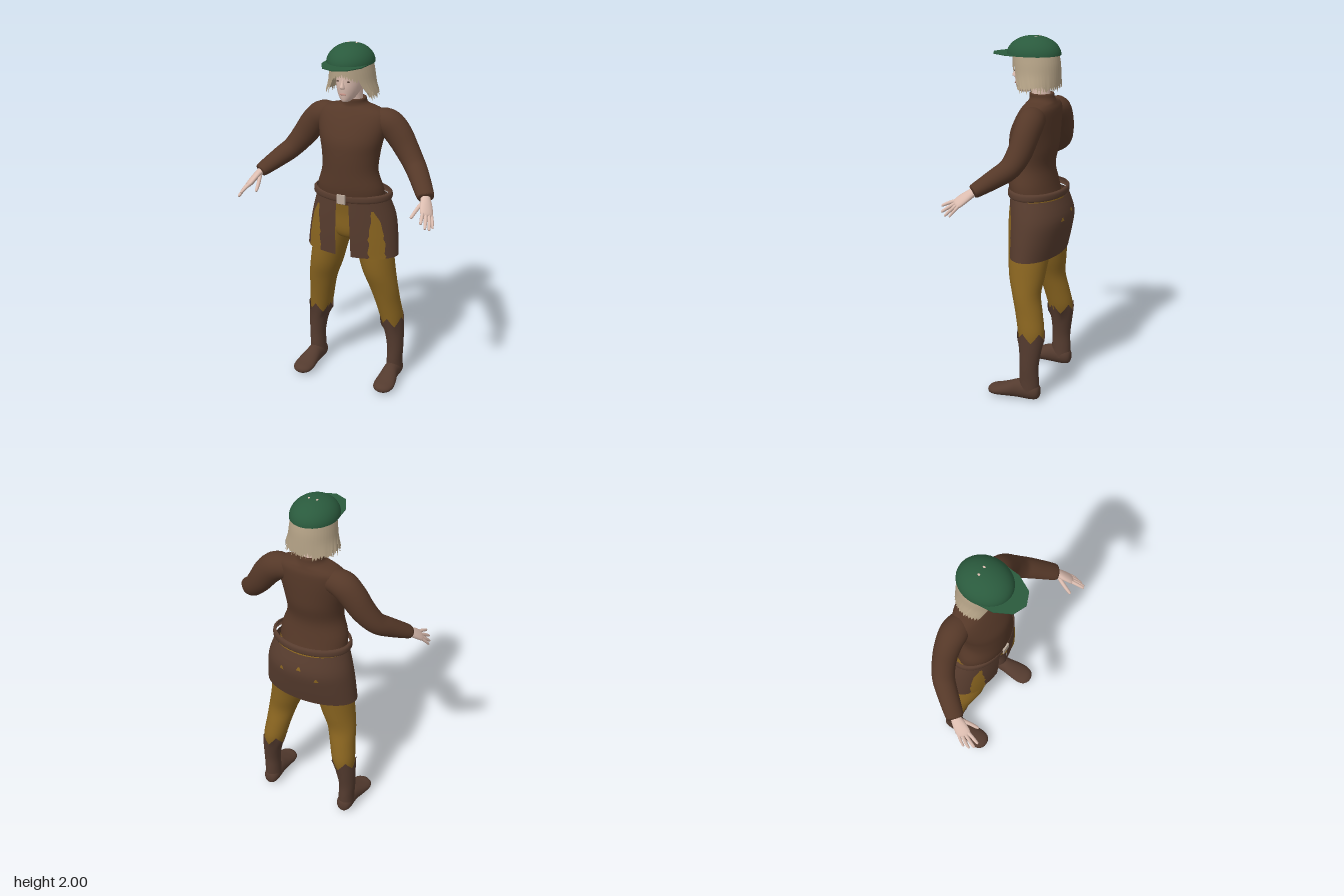
import * as THREE from 'three';

const mat = (name, color, side = THREE.FrontSide) => {
  const m = new THREE.MeshStandardMaterial({ color, side });
  m.name = name;
  return m;
};

// Surface from a rule p(u, v) -> [x, y, z]; closed joins the u ends
function grid(p, nu, nv, closed = false) {
  const pos = [], idx = [], cols = closed ? nu : nu + 1;
  for (let i = 0; i <= nv; i++)
    for (let j = 0; j < cols; j++) pos.push(...p(j / nu, i / nv));
  for (let i = 0; i < nv; i++)
    for (let j = 0; j < nu; j++) {
      const a = i * cols + j, b = i * cols + (j + 1) % cols, c = a + cols, d = b + cols;
      idx.push(a, b, c, b, d, c);
    }
  const g = new THREE.BufferGeometry();
  g.setAttribute('position', new THREE.Float32BufferAttribute(pos, 3));
  g.setIndex(idx);
  g.computeVertexNormals();
  return g;
}

// Smooth interpolation between rows of numbers
function sample(rows, t) {
  const s = t * (rows.length - 1), i = Math.min(Math.floor(s), rows.length - 2), f = s - i;
  const at = k => rows[Math.max(0, Math.min(rows.length - 1, k))];
  return rows[0].map((_, k) => {
    const a = at(i - 1)[k], b = at(i)[k], c = at(i + 1)[k], d = at(i + 2)[k];
    const m = (c - a) / 2, n = (d - b) / 2;
    return b + m * f + (3 * (c - b) - 2 * m - n) * f * f + (2 * (b - c) + m + n) * f * f * f;
  });
}

// Upright loft through elliptical rows [y, cx, cz, rx, rz]
const ring = ([y, cx, cz, rx, rz], a) => [cx + rx * Math.sin(a), y, cz + rz * Math.cos(a)];
const loft = (rows, n = 32, step = 4) =>
  grid((u, v) => ring(sample(rows, v), u * Math.PI * 2), n, (rows.length - 1) * step, true);

// Limb along points [x, y, z, radius across, radius through]
function limb(rows, side, n = 20, step = 5) {
  const vec = r => new THREE.Vector3(r[0], r[1], r[2]);
  return grid((u, v) => {
    const r = sample(rows, v), a = u * Math.PI * 2;
    const t = vec(sample(rows, Math.min(1, v + 0.02))).sub(vec(sample(rows, Math.max(0, v - 0.02)))).normalize();
    const b = side.clone().addScaledVector(t, -side.dot(t)).normalize();
    const q = t.clone().cross(b);
    return vec(r).addScaledVector(b, r[3] * Math.cos(a)).addScaledVector(q, r[4] * Math.sin(a)).toArray();
  }, n, (rows.length - 1) * step, true);
}

function mirrored(geo) {
  const g = geo.clone().scale(-1, 1, 1), ix = g.index.array;
  for (let i = 0; i < ix.length; i += 3) [ix[i + 1], ix[i + 2]] = [ix[i + 2], ix[i + 1]];
  g.computeVertexNormals();
  return g;
}

const rough = k => { const s = Math.sin(k * 127.1 + 11.7) * 43758.5453; return s - Math.floor(s); };
const lerp = THREE.MathUtils.lerp;

export function createModel() {
  const model = new THREE.Group();
  const D = THREE.DoubleSide;
  const shirt = mat('shirt brown', 0x553828), leather = mat('skirt brown', 0x573c2e, D);
  const boot = mat('boot brown', 0x543b2f, D), cloth = mat('trouser mustard', 0x8a6520, D);
  const green = mat('cap green', 0x2a5a3d, D), blond = mat('hair blond', 0xb5a387, D);
  const skin = mat('skin', 0xdcbdb0), dark = mat('eye brown', 0x5a463c);
  const lip = mat('lip pink', 0xc08d82), metal = mat('buckle grey', 0xbcab9c);
  const add = (name, geo, m) => {
    const o = new THREE.Mesh(geo, m);
    o.name = name;
    model.add(o);
    return o;
  };
  const pair = (name, geo, m) => { add('left ' + name, geo, m); add('right ' + name, mirrored(geo), m); };
  const blob = (x, y, z, sx, sy, sz) => new THREE.SphereGeometry(1, 16, 12).scale(sx, sy, sz).translate(x, y, z);

  // Shirt with a high collar, and sleeves
  add('shirt', loft([
    [1.12, 0, -0.06, 0.195, 0.13], [1.2, 0, -0.042, 0.193, 0.128], [1.3, 0, -0.033, 0.162, 0.122],
    [1.4, 0, -0.043, 0.167, 0.132], [1.48, 0, -0.05, 0.184, 0.13], [1.56, 0, -0.068, 0.2, 0.113],
    [1.615, 0, -0.083, 0.195, 0.095], [1.643, 0, -0.088, 0.155, 0.08], [1.658, 0, -0.09, 0.09, 0.072],
    [1.675, 0, -0.088, 0.07, 0.068], [1.697, 0, -0.085, 0.066, 0.065], [1.692, 0, -0.085, 0.045, 0.045],
  ], 40), shirt);
  pair('sleeve', limb([
    [0.11, 1.575, -0.095, 0.06, 0.06], [0.19, 1.572, -0.1, 0.077, 0.074], [0.25, 1.523, -0.1, 0.077, 0.07],
    [0.31, 1.44, -0.09, 0.069, 0.064], [0.37, 1.365, -0.06, 0.058, 0.06], [0.42, 1.32, -0.005, 0.052, 0.056],
    [0.492, 1.257, 0.088, 0.036, 0.047], [0.493, 1.256, 0.089, 0.025, 0.03],
  ], new THREE.Vector3(0, 1, 0), 24), shirt);

  // Hands
  const across = new THREE.Vector3(0.6, -0.3, -0.55);
  pair('palm', limb([
    [0.47, 1.275, 0.06, 0.025, 0.02], [0.495, 1.25, 0.095, 0.028, 0.02], [0.515, 1.22, 0.135, 0.037, 0.018],
    [0.532, 1.19, 0.172, 0.036, 0.014], [0.537, 1.182, 0.18, 0.004, 0.003],
  ], across, 16), skin);
  const fingers = [
    ['thumb', [0.488, 1.235, 0.115], [0.472, 1.205, 0.165], [0.46, 1.175, 0.215], 0.011],
    ['index finger', [0.513, 1.203, 0.178], [0.523, 1.188, 0.22], [0.532, 1.17, 0.258], 0.01],
    ['middle finger', [0.527, 1.196, 0.173], [0.542, 1.17, 0.212], [0.553, 1.143, 0.25], 0.01],
    ['ring finger', [0.541, 1.19, 0.163], [0.557, 1.16, 0.194], [0.568, 1.128, 0.225], 0.0095],
    ['little finger', [0.551, 1.185, 0.15], [0.566, 1.157, 0.173], [0.575, 1.128, 0.195], 0.008],
  ];
  for (const [name, a, b, c, r] of fingers)
    pair(name, limb([
      [...a, r, r], [...b, r * 0.95, r * 0.95], [...c.map((e, k) => lerp(e, b[k], 0.1)), r * 0.7, r * 0.7],
      [...c, 0.0005, 0.0005],
    ], across, 10, 4), skin);

  // Trousers
  add('trouser hips', loft([
    [0.885, 0, -0.075, 0.03, 0.03], [0.9, 0, -0.075, 0.1, 0.085], [0.95, 0, -0.078, 0.195, 0.115],
    [1.05, 0, -0.078, 0.2, 0.125], [1.14, 0, -0.062, 0.193, 0.126],
  ]), cloth);
  pair('trouser leg', loft([
    [0.32, 0.238, -0.12, 0.05, 0.06], [0.4, 0.227, -0.119, 0.066, 0.074], [0.5, 0.21, -0.1, 0.073, 0.076],
    [0.6, 0.192, -0.078, 0.083, 0.079], [0.7, 0.166, -0.07, 0.094, 0.1], [0.8, 0.145, -0.071, 0.1, 0.113],
    [0.9, 0.122, -0.077, 0.103, 0.122], [1.0, 0.1, -0.08, 0.1, 0.125],
  ]), cloth);

  // Boots: shaft with a pointed upper edge, and a foot lofted front to back
  const shaft = [
    [0.05, 0.25, -0.12, 0.047, 0.056], [0.12, 0.252, -0.118, 0.045, 0.056], [0.2, 0.254, -0.118, 0.047, 0.054],
    [0.3, 0.245, -0.122, 0.056, 0.064], [0.38, 0.23, -0.12, 0.07, 0.079],
  ];
  pair('boot shaft', grid((u, v) => {
    const p = ring(sample(shaft, v), u * Math.PI * 2);
    const point = Math.abs((u * 5 + 0.5) % 1 - 0.5) * 2;
    p[1] += Math.max(0, v - 0.75) * 4 * (0.03 - 0.055 * point);
    return p;
  }, 40, 20, true), boot);
  pair('boot foot', loft([
    [-0.182, 0.25, -0.05, 0.001, 0.001], [-0.174, 0.25, -0.05, 0.03, 0.036], [-0.14, 0.25, -0.055, 0.046, 0.054],
    [-0.06, 0.252, -0.056, 0.046, 0.055], [0, 0.257, -0.046, 0.055, 0.043], [0.06, 0.26, -0.035, 0.061, 0.031],
    [0.1, 0.26, -0.031, 0.05, 0.025], [0.121, 0.26, -0.029, 0.024, 0.013], [0.125, 0.26, -0.028, 0.001, 0.001],
  ], 24).rotateX(Math.PI / 2), boot);

  // Skirt, open at the front
  const skirtRows = [
    [0.81, 0, -0.075, 0.276, 0.14], [0.92, 0, -0.085, 0.265, 0.157],
    [1.03, 0, -0.092, 0.247, 0.167], [1.135, 0, -0.077, 0.214, 0.152],
  ];
  const skirtAt = (a, v, off = 0) => {
    const r = sample(skirtRows, v);
    return ring([r[0], r[1], r[2], r[3] + off, r[4] + off], a);
  };
  add('skirt', grid((u, v) => skirtAt(lerp(0.17, Math.PI * 2 - 0.17, u), v), 64, 12), leather);

  // Ragged trouser panels showing on the front of the skirt, and small specks at the back
  const panel = grid((u, v) => {
    const wide = 1 - Math.pow(v, 3);
    const a = lerp(0.76 - 0.2 * wide, 0.83 + 0.16 * wide, u) + (rough(Math.round(v * 14) + 3) - 0.5) * 0.06;
    return skirtAt(a, v * 0.84, 0.005);
  }, 6, 14);
  pair('front trouser panel', panel, cloth);
  [[2.75, 0.63], [3.2, 0.72], [3.6, 0.55]].forEach(([a, h]) =>
    add('skirt speck', grid((u, v) => skirtAt(a + (u - 0.5) * 0.12 * (1 - v * 0.7), h + v * 0.06, 0.004), 2, 2), cloth));

  // Belt and buckle
  add('belt', loft([
    [1.14, 0, -0.072, 0.222, 0.15], [1.146, 0, -0.072, 0.231, 0.158],
    [1.173, 0, -0.072, 0.229, 0.157], [1.18, 0, -0.07, 0.215, 0.145],
  ], 48, 3), leather);
  add('buckle', new THREE.BoxGeometry(0.05, 0.052, 0.012).translate(0, 1.158, 0.087), metal);

  // Neck, head and face
  add('neck', loft([[1.63, 0, -0.085, 0.052, 0.054], [1.7, 0, -0.08, 0.049, 0.052], [1.8, 0, -0.07, 0.05, 0.06]], 24), skin);
  add('head', loft([
    [1.694, 0, 0.02, 0.002, 0.002], [1.699, 0, 0.015, 0.02, 0.034], [1.715, 0, 0, 0.038, 0.058],
    [1.745, 0, -0.015, 0.056, 0.078], [1.78, 0, -0.03, 0.067, 0.097], [1.82, 0, -0.04, 0.071, 0.106],
    [1.86, 0, -0.05, 0.074, 0.114], [1.9, 0, -0.055, 0.07, 0.11], [1.95, 0, -0.05, 0.03, 0.05],
  ]), skin);
  add('nose', loft([
    [1.77, 0, 0.062, 0.002, 0.002], [1.776, 0, 0.065, 0.014, 0.014], [1.785, 0, 0.066, 0.013, 0.02],
    [1.805, 0, 0.063, 0.008, 0.012], [1.825, 0, 0.06, 0.005, 0.007],
  ], 16), skin);
  pair('eye', blob(0.029, 1.813, 0.057, 0.011, 0.0045, 0.004), dark);
  pair('eyebrow', blob(0.03, 1.835, 0.055, 0.016, 0.0025, 0.004), blond);
  add('lips', blob(0, 1.744, 0.063, 0.02, 0.006, 0.005), lip);

  // Hair: two ragged shells round the back and sides, and a fringe
  const hairRows = [
    [1.92, 0, -0.05, 0.11, 0.125], [1.86, 0, -0.056, 0.12, 0.128],
    [1.8, 0, -0.06, 0.128, 0.126], [1.745, 0, -0.062, 0.145, 0.124],
  ];
  [['outer hair', 0, 5], ['inner hair', -0.012, 60]].forEach(([name, off, seed]) =>
    add(name, grid((u, v) => {
      const open = 0.6 + 0.4 * v * v;
      const k = Math.round(u * 72);
      const r = sample(hairRows, v);
      const wave = off + (k % 2) * 0.004 * v;
      const p = ring([r[0], 0, r[2], r[3] + wave, r[4] + wave], lerp(open, Math.PI * 2 - open, u));
      p[1] -= v ** 4 * ((k % 2) * 0.022 + (rough(k + seed) - 0.5) * 0.03);
      return p;
    }, 72, 10), blond));
  add('fringe', grid((u, v) => {
    const k = Math.round(u * 24), a = lerp(-0.72, 0.72, u);
    const drop = 0.05 + 0.035 * Math.abs(2 * u - 1) + (k % 2) * 0.018 + rough(k) * 0.01;
    return ring([1.91 - v * drop, 0, -0.056, 0.119, 0.13], a);
  }, 24, 4), blond);

  // Cap with a thin flat brim and two small vents
  add('cap', new THREE.SphereGeometry(1, 40, 14, 0, Math.PI * 2, 0, Math.PI / 2)
    .scale(0.127, 0.1, 0.149).translate(0, 1.9, -0.04), green);
  const brim = new THREE.Shape([[-0.122, 0], [-0.115, 0.08], [-0.07, 0.165], [0, 0.195], [0.07, 0.165], [0.115, 0.08], [0.122, 0], [0, 0.07]]
    .map(([x, y]) => new THREE.Vector2(x, y)));
  add('brim', new THREE.ExtrudeGeometry(brim, { depth: 0.005, bevelEnabled: false })
    .rotateX(Math.PI / 2).translate(0, 1.904, 0), green);
  pair('cap vent', blob(0.023, 1.997, -0.06, 0.006, 0.003, 0.008), skin);
  return model;
}
